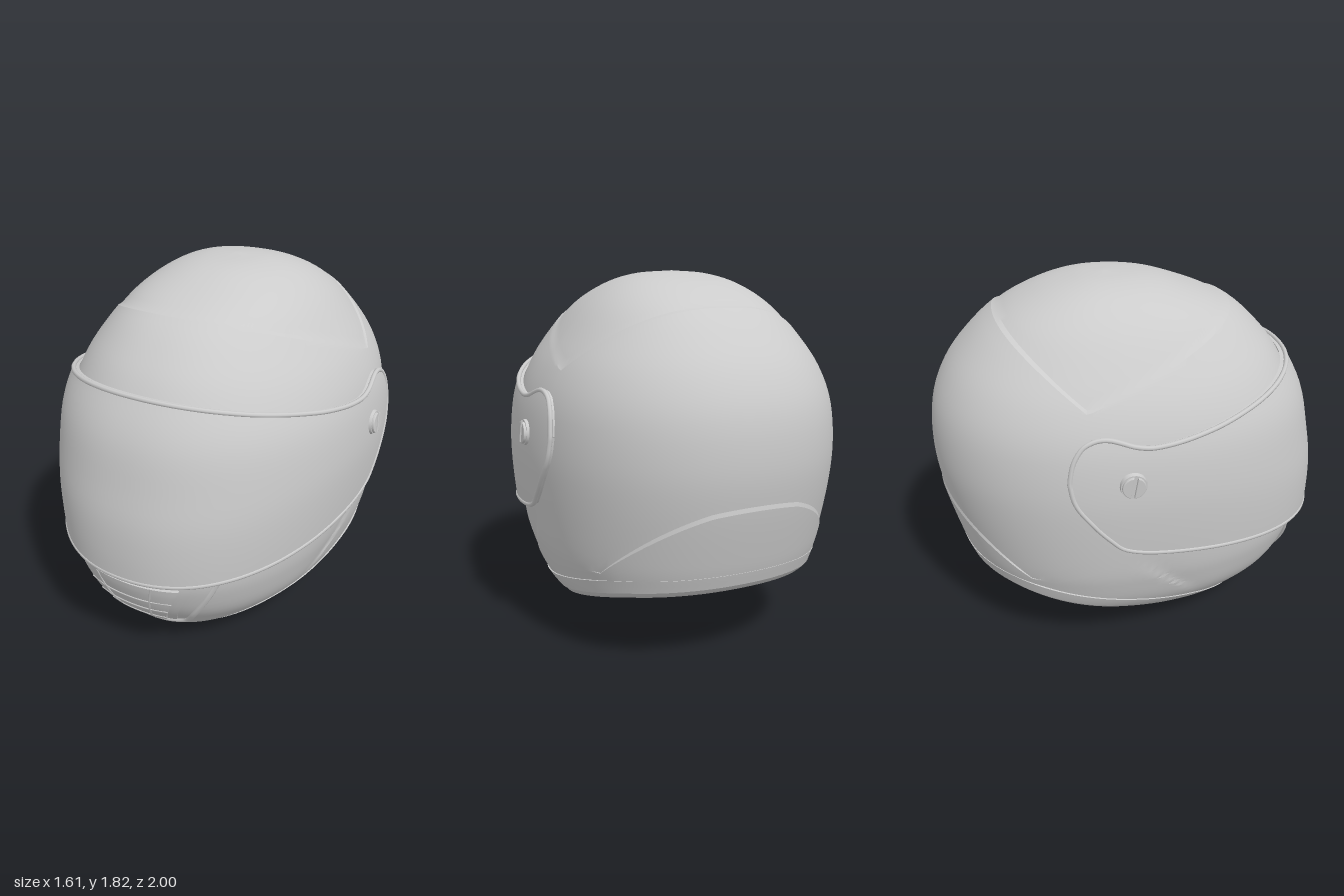
import * as THREE from 'three';
import { toCreasedNormals } from 'three/addons/utils/BufferGeometryUtils.js';

const ZC = -0.12; // axis of the horizontal sections
const PORT = 1.25; // half angle of the eye port
const N = 2.2; // section exponent, slightly squarer than an ellipse
// Horizontal sections: height, half width, front z, back z
const SECTIONS = [
  [0.02, 0.32, 0.57, -0.70], [0.10, 0.455, 0.70, -0.74], [0.20, 0.565, 0.785, -0.79],
  [0.30, 0.64, 0.865, -0.83], [0.42, 0.685, 0.92, -0.87], [0.55, 0.715, 0.95, -0.913],
  [0.80, 0.742, 0.945, -0.975], [1.00, 0.748, 0.91, -1.0], [1.20, 0.726, 0.865, -0.985],
  [1.36, 0.67, 0.79, -0.925], [1.50, 0.582, 0.69, -0.825], [1.65, 0.46, 0.52, -0.665],
  [1.75, 0.325, 0.28, -0.46], [1.80, 0.175, 0.10, -0.27], [1.815, 0, ZC, ZC],
];
const spline = (f) => new THREE.CatmullRomCurve3(SECTIONS.map(f), false, 'catmullrom');
const heights = spline((r) => new THREE.Vector3(r[0], 0, 0));
const sizes = spline((r) => new THREE.Vector3(r[1], r[2], r[3]));

const lerp = THREE.MathUtils.lerp;
const sat = (v) => Math.min(1, Math.max(0, v));
const other = (u) => (1 - Math.abs(u) ** N) ** (1 / N); // second coordinate on the unit section

// Point on the body: angle a from the front, section s, horizontal scale k
function P(a, s, k = 1) {
  const w = sizes.getPoint(s), c = Math.cos(a), d = Math.sin(a);
  const r = k / (Math.abs(c) ** N + Math.abs(d) ** N) ** (1 / N);
  const depth = c > 0 ? w.y - ZC : ZC - w.z;
  return new THREE.Vector3(w.x * r * d, heights.getPoint(s).x, ZC + depth * r * c);
}

// Piecewise linear height over z
const line = (pts) => (z) => {
  if (z <= pts[0][0]) return pts[0][1];
  for (let i = 1; i < pts.length; i++) {
    const [z0, y0] = pts[i - 1], [z1, y1] = pts[i];
    if (z <= z1) return lerp(y0, y1, (z - z0) / (z1 - z0));
  }
  return pts[pts.length - 1][1];
};

// Section parameter where the body at angle a crosses the line y = f(z)
function cut(a, f, k = 1) {
  let lo = 0, hi = 1;
  for (let i = 0; i < 26; i++) {
    const m = (lo + hi) / 2, p = P(a, m, k);
    if (p.y < f(p.z)) lo = m; else hi = m;
  }
  return lo;
}

const rimLine = line([[-0.9, 0.42], [-0.65, 0.375], [0, 0.21], [0.25, 0.15], [0.35, 0.115], [0.43, 0.07], [0.57, 0.02]]);
const trimLine = line([[-0.9, 0.495], [-0.65, 0.455], [0, 0.295], [0.25, 0.24], [0.4, 0.17], [0.5, 0.1], [0.6, 0.045], [0.7, 0.045]]);
const panelLine = line([[-1, 0.835], [-0.95, 0.805], [-0.58, 0.475], [-0.45, 0.48], [0.1, 0.7], [1, 0.7]]);
const portLow = () => 0.7;
const portHigh = line([[-1, 1.15], [0.2, 1.15], [0.9, 1.3]]);
const capLine = line([[-0.66, 1.655], [-0.3, 1.365], [0.5, 1.66], [0.9, 1.81]]);
const visorLow = line([[-0.4, 1.08], [-0.39, 1.01], [-0.37, 0.96], [-0.33, 0.9], [-0.25, 0.8], [-0.17, 0.72],
  [-0.13, 0.7], [-0.08, 0.685], [0, 0.67], [0.5, 0.61], [0.9, 0.56], [1, 0.55]]);
const visorHigh = line([[-0.4, 1.08], [-0.39, 1.15], [-0.37, 1.2], [-0.33, 1.25], [-0.28, 1.272], [-0.23, 1.275],
  [-0.18, 1.262], [-0.08, 1.226], [0, 1.222], [0.15, 1.24], [0.3, 1.268], [0.6, 1.335], [0.8, 1.385], [1, 1.43]]);

// Surface from rows of points, optionally wrapped around, with skipped cells
function grid(cols, rows, point, { wrap = false, skip = () => false, crease = 0.45 } = {}) {
  const pos = [], idx = [], n = wrap ? cols : cols + 1;
  for (let j = 0; j <= rows; j++) for (let i = 0; i < n; i++) pos.push(...point(i, j).toArray());
  for (let j = 0; j < rows; j++) for (let i = 0; i < cols; i++) {
    if (skip(i, j)) continue;
    const a = j * n + i, b = j * n + (i + 1) % n;
    idx.push(a, b, b + n, a, b + n, a + n);
  }
  const g = new THREE.BufferGeometry();
  g.setAttribute('position', new THREE.Float32BufferAttribute(pos, 3));
  g.setIndex(idx);
  return toCreasedNormals(g, crease);
}

const COLS = 192;
const angle = (i) => ((i / COLS) * 2 - 1) * Math.PI;
const inPort = (i) => Math.abs(angle(i + 0.5)) < PORT;

// Soft crease on each side of the chin
function chinCrease(p) {
  const dz = p.z - 0.28, dy = p.y - 0.25;
  const t = (-0.41 * dz + 0.37 * dy) / 0.305, d = 0.67 * dz + 0.743 * dy;
  return t > 0 && t < 1 && d > 0 ? 0.018 * sat(d / 0.025) * Math.exp(-d / 0.1) * Math.sin(Math.PI * t) : 0;
}

function shellGeometry() {
  const lines = [rimLine, trimLine, panelLine, portHigh, capLine];
  const cuts = Array.from({ length: COLS }, (_, i) => [...lines.map((f) => cut(angle(i), f)), 1]);
  const rows = [];
  [5, 16, 12, 14, 26].forEach((n, b) => {
    for (let j = 0; j <= n; j++) rows.push({ b, j, n });
  });
  return grid(COLS, rows.length - 1, (i, r) => {
    const { b, j, n } = rows[r], a = angle(i);
    const t = b === 4 && j === 1 ? 0.5 / n : j / n; // tight lip around the crown
    const s = lerp(cuts[i][b], cuts[i][b + 1], t), p = P(a, s);
    const rear = sat((-0.52 - p.z) / 0.12);
    let k = 1 - chinCrease(p);
    if (b === 0) k = j ? 1.012 : 1; // trim band
    if (b === 1 && j < n) k += 0.008 * rear; // raised rear panel
    if (b === 4 && j) k -= 0.004 + 0.024 * Math.abs(Math.cos(a)); // recessed crown
    return P(a, s, k);
  }, { wrap: true, crease: 0.3, skip: (i, r) => inPort(i) && rows[r].b === 2 && rows[r + 1].b === 2 });
}

// Inside of the padding
function inner(a, s, k = 0.85) {
  const p = P(a, s, k);
  if (p.y > 0.95) p.y = 0.95 + (p.y - 0.95) * 0.9;
  return p;
}

function linerGeometry() {
  const roll = [[0, 0], [0.015, -0.014], [0.045, -0.02], [0.08, -0.014], [0.11, 0.005], [0.13, 0.035], [0.135, 0.07]];
  const cuts = Array.from({ length: COLS }, (_, i) => [rimLine, portLow, portHigh].map((f) => cut(angle(i), f)));
  const R = roll.length, LOW = R + 9, HIGH = LOW + 10, TOP = HIGH + 20;
  return grid(COLS, TOP, (i, j) => {
    const a = angle(i), [s0, s1, s2] = cuts[i];
    if (j < R) {
      const p = P(a, s0, 1 - roll[j][0] / 0.75);
      p.y += roll[j][1];
      return p;
    }
    if (j <= LOW) {
      const t = (j - R) / (LOW - R);
      return inner(a, lerp(s0, s1, 0.35 + 0.65 * t), lerp(0.83, 0.85, t));
    }
    if (j <= HIGH) return inner(a, lerp(s1, s2, (j - LOW) / (HIGH - LOW)));
    return inner(a, lerp(s2, 1, (j - HIGH) / (TOP - HIGH)));
  }, { wrap: true, crease: 1, skip: (i, j) => inPort(i) && j >= LOW && j < HIGH });
}

// Wall of the eye port between shell and padding
function portGeometry() {
  const n = 48, low = [], high = [];
  for (let i = 0; i <= n; i++) {
    const a = PORT * ((i / n) * 2 - 1);
    low.push([a, cut(a, portLow)]);
    high.unshift([a, cut(a, portHigh)]);
  }
  const loop = [...low, ...high];
  return grid(loop.length, 2, (i, j) => P(...loop[i]).lerp(inner(...loop[i]), j / 2), { wrap: true });
}

function visorParts() {
  const cols = 96, rows = 18, K = 1.045, tip = 0.28 / (0.88 * K);
  const end = Math.atan2(other(tip), -tip);
  const col = Array.from({ length: cols + 1 }, (_, i) => {
    const a = end * Math.sin(((i / cols) * 2 - 1) * Math.PI / 2);
    const lo = cut(a, visorLow, K);
    return { a, lo, hi: Math.max(lo, cut(a, visorHigh, K)) };
  });
  const pane = grid(cols, rows, (i, j) => {
    const { a, lo, hi } = col[i], edge = j === 0 || j === rows;
    return P(a, lerp(lo, hi, sat((j - 1) / (rows - 2))), edge ? 1.005 : K);
  });
  const low = [], high = [];
  for (let i = 0; i <= cols; i += 2) {
    low.push(P(col[i].a, col[i].lo, 1.038));
    if (i > 0 && i < cols) high.unshift(P(col[i].a, col[i].hi, 1.038));
  }
  const path = new THREE.CatmullRomCurve3([...low, ...high], true);
  path.arcLengthDivisions = 800;
  return [pane, new THREE.TubeGeometry(path, 360, 0.012, 8, true)];
}

// Front-projected point on the body
function F(x, y, k = 1) {
  const s = cut(0, () => y), u = x / sizes.getPoint(s).x;
  return P(Math.atan2(u, other(u)), s, k);
}
const frontTube = (pts, k, r) => new THREE.TubeGeometry(
  new THREE.CatmullRomCurve3(pts.map(([x, y]) => F(x, y, k))), 60, r, 6);

// Tapered plate lying on the chin, with side walls
const plate = (top, bottom, y0, y1, k) => grid(26, 14, (i, j) => {
  const u = sat((i - 1) / 24) * 2 - 1, v = sat((j - 1) / 12);
  const edge = i === 0 || i === 26 || j === 0 || j === 14;
  return F(u * lerp(bottom, top, v), lerp(y0, y1, v), edge ? 0.99 : k);
});

// Slotted screw: a disc carrying two half-moon pads
function screw(mat) {
  const g = new THREE.Group();
  g.name = 'pivotScrew';
  const disc = new THREE.Mesh(new THREE.CylinderGeometry(0.06, 0.064, 0.02, 32).rotateZ(-Math.PI / 2), mat);
  disc.name = 'screwBase';
  g.add(disc);
  for (const side of [0, Math.PI]) {
    const half = new THREE.Shape().absarc(0, 0, 0.05, 0.25, Math.PI - 0.25);
    const geo = new THREE.ExtrudeGeometry(half, { depth: 0.008, bevelSize: 0.004, bevelThickness: 0.004, bevelSegments: 2, curveSegments: 16 });
    const pad = new THREE.Mesh(geo.rotateZ(side + Math.PI / 2 - 0.15).rotateY(Math.PI / 2), mat);
    pad.position.x = 0.01;
    pad.name = 'screwPad';
    g.add(pad);
  }
  return g;
}

export function createModel() {
  const model = new THREE.Group();
  model.name = 'helmet';
  const mat = new THREE.MeshStandardMaterial({ color: 0xcccccc, side: THREE.DoubleSide });
  const add = (name, geo) => {
    const m = new THREE.Mesh(geo, mat);
    m.name = name;
    model.add(m);
  };

  add('shell', shellGeometry());
  add('liner', linerGeometry());
  add('eyePortWall', portGeometry());
  const [pane, bead] = visorParts();
  add('visor', pane);
  add('visorEdge', bead);

  // Chin vent: surround, insert, grille and its bars
  add('ventSurround', frontTube([[-0.42, 0.56], [-0.36, 0.43], [-0.28, 0.3], [-0.2, 0.195], [-0.1, 0.172], [0, 0.17],
    [0.1, 0.172], [0.2, 0.195], [0.28, 0.3], [0.36, 0.43], [0.42, 0.56]], 0.996, 0.018));
  add('ventInsert', plate(0.35, 0.16, 0.195, 0.57, 1.01));
  add('ventGrille', plate(0.27, 0.125, 0.21, 0.51, 1.026));
  for (const y of [0.27, 0.34, 0.41]) {
    const w = lerp(0.125, 0.27, (y - 0.21) / 0.3);
    add('grilleBar', frontTube([-1, -0.5, 0, 0.5, 1].map((u) => [u * w, y]), 1.026, 0.005));
  }
  for (const u of [-0.55, 0.55]) {
    add('grilleBar', frontTube([0, 0.33, 0.67, 1].map((v) => [u * lerp(0.125, 0.27, v), 0.21 + 0.3 * v]), 1.026, 0.005));
  }

  for (const side of [1, -1]) {
    const s = screw(mat);
    s.position.set(side * 0.78, 1.06, -0.12);
    s.rotation.set(0, side > 0 ? 0 : Math.PI, side * 0.06);
    model.add(s);
  }
  return model;
}
